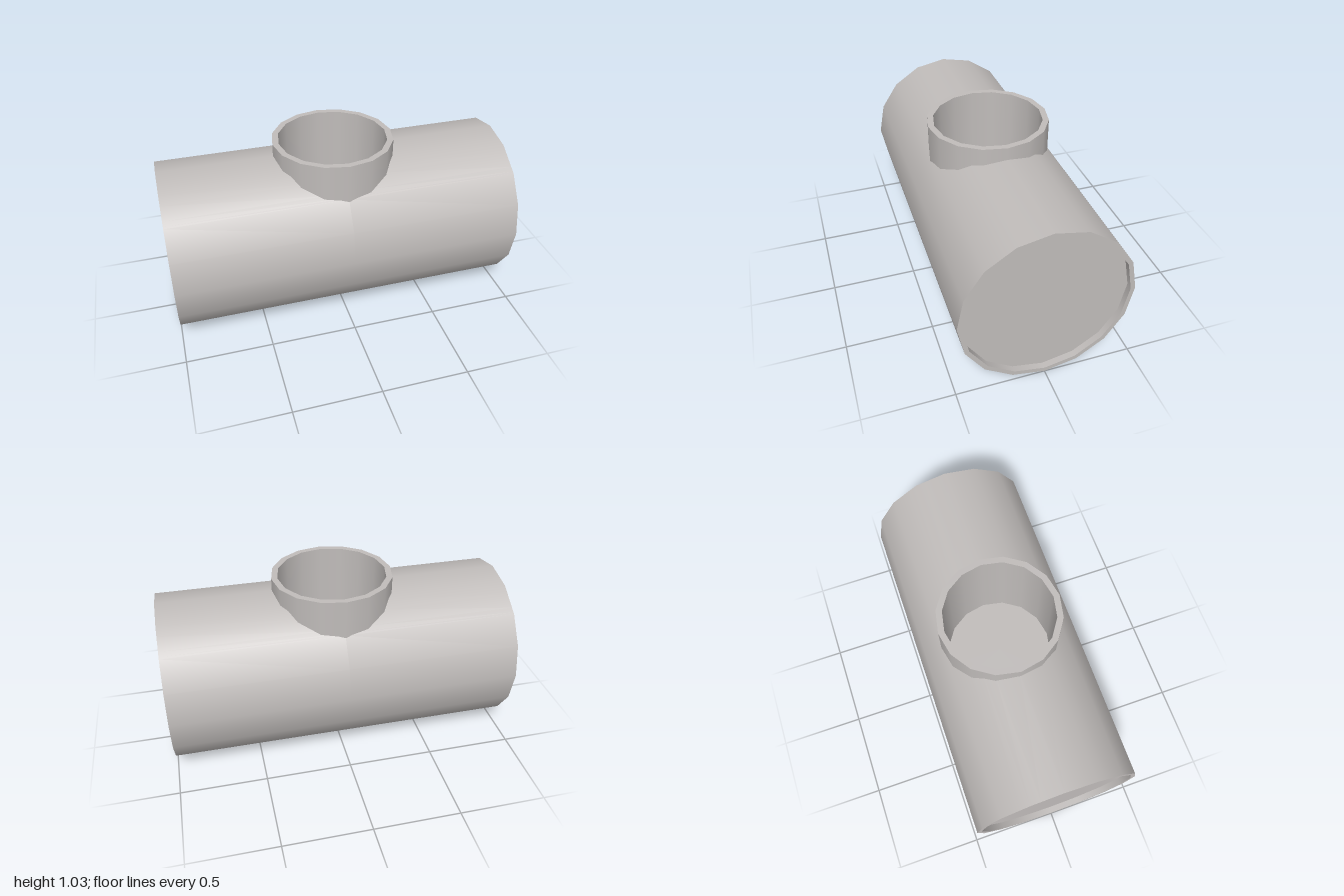
import * as THREE from 'three';
import { mergeGeometries } from 'three/addons/utils/BufferGeometryUtils.js';

const SIDES = 16;
const PIPE_R = 0.481, PIPE_INNER = 0.455, RECESS = 0.036;
const BRANCH_R = 0.348, BRANCH_INNER = 0.313, HOLE_R = 0.33;
const TOP = 1.035, FLOOR = 0.48;

// Revolves each profile segment separately so the edges between them stay sharp
function turned(profile) {
  const parts = [];
  for (let i = 0; i < profile.length - 1; i++) {
    const ends = [profile[i], profile[i + 1]].map(([r, y]) => new THREE.Vector2(r, y));
    parts.push(new THREE.LatheGeometry(ends, SIDES));
  }
  return mergeGeometries(parts);
}

// Half width of the polygonal branch opening at a given z
function holeHalfWidth(z) {
  const step = Math.PI * 2 / SIDES;
  const a = Math.abs(z);
  for (let i = 0; i < SIDES / 4; i++) {
    const z0 = HOLE_R * Math.sin(i * step), z1 = HOLE_R * Math.sin((i + 1) * step);
    if (a <= z1) {
      const t = (a - z0) / (z1 - z0);
      return HOLE_R * ((1 - t) * Math.cos(i * step) + t * Math.cos((i + 1) * step));
    }
  }
  return 0;
}

// Pipe wall in lengthwise strips, parted around the branch opening
function pipeWall() {
  const step = Math.PI * 2 / SIDES;
  const stations = [];
  for (let i = 0; i < SIDES; i++) {
    const [p, q] = [i, i + 1].map(k => ({ y: PIPE_R * Math.cos(k * step), z: PIPE_R * Math.sin(k * step) }));
    stations.push(p);
    if (p.y + q.y <= 0) continue;
    // Extra stations where the opening has its own corners
    const cuts = [];
    for (let k = -SIDES / 4; k <= SIDES / 4; k++) {
      const t = (HOLE_R * Math.sin(k * step) - p.z) / (q.z - p.z);
      if (t > 0.001 && t < 0.999) cuts.push(t);
    }
    cuts.sort((a, b) => a - b);
    for (const t of cuts) stations.push({ y: p.y + (q.y - p.y) * t, z: p.z + (q.z - p.z) * t });
  }
  stations.push(stations[0]);

  const pos = [], norm = [], index = [];
  for (const { y, z } of stations) {
    const w = y > 0 ? holeHalfWidth(z) : 0;
    const len = Math.hypot(y, z);
    for (const x of [-1, -w, w, 1]) {
      pos.push(x, y, z);
      norm.push(0, y / len, z / len);
    }
  }
  for (let i = 0; i < stations.length - 1; i++) {
    for (const c of [0, 2]) {
      const a = i * 4 + c, b = a + 4;
      index.push(a, b, b + 1, a, b + 1, a + 1);
    }
  }
  const geo = new THREE.BufferGeometry();
  geo.setAttribute('position', new THREE.Float32BufferAttribute(pos, 3));
  geo.setAttribute('normal', new THREE.Float32BufferAttribute(norm, 3));
  geo.setIndex(index);
  return geo;
}

export function createModel() {
  const model = new THREE.Group();
  model.name = 'pipeTee';
  const grey = new THREE.MeshStandardMaterial({ color: 0xc0bcba });
  grey.name = 'warmGrey';

  const add = (name, geometry) => {
    const mesh = new THREE.Mesh(geometry, grey);
    mesh.name = name;
    model.add(mesh);
    return mesh;
  };

  // Main horizontal pipe
  add('mainPipe', pipeWall()).position.y = PIPE_R;

  // Rim and recessed disc at each end
  for (const side of [1, -1]) {
    const end = add(side > 0 ? 'leftEnd' : 'rightEnd', turned([
      [PIPE_R, 1], [PIPE_INNER, 1], [PIPE_INNER, 1 - RECESS], [0, 1 - RECESS],
    ]));
    end.rotation.z = -side * Math.PI / 2;
    end.position.y = PIPE_R;
  }

  // Upright branch collar with its rim, bore and floor
  add('branchCollar', turned([
    [BRANCH_R, 0.79], [BRANCH_R, TOP], [BRANCH_INNER, TOP], [BRANCH_INNER, FLOOR], [0, FLOOR],
  ]));

  return model;
}
